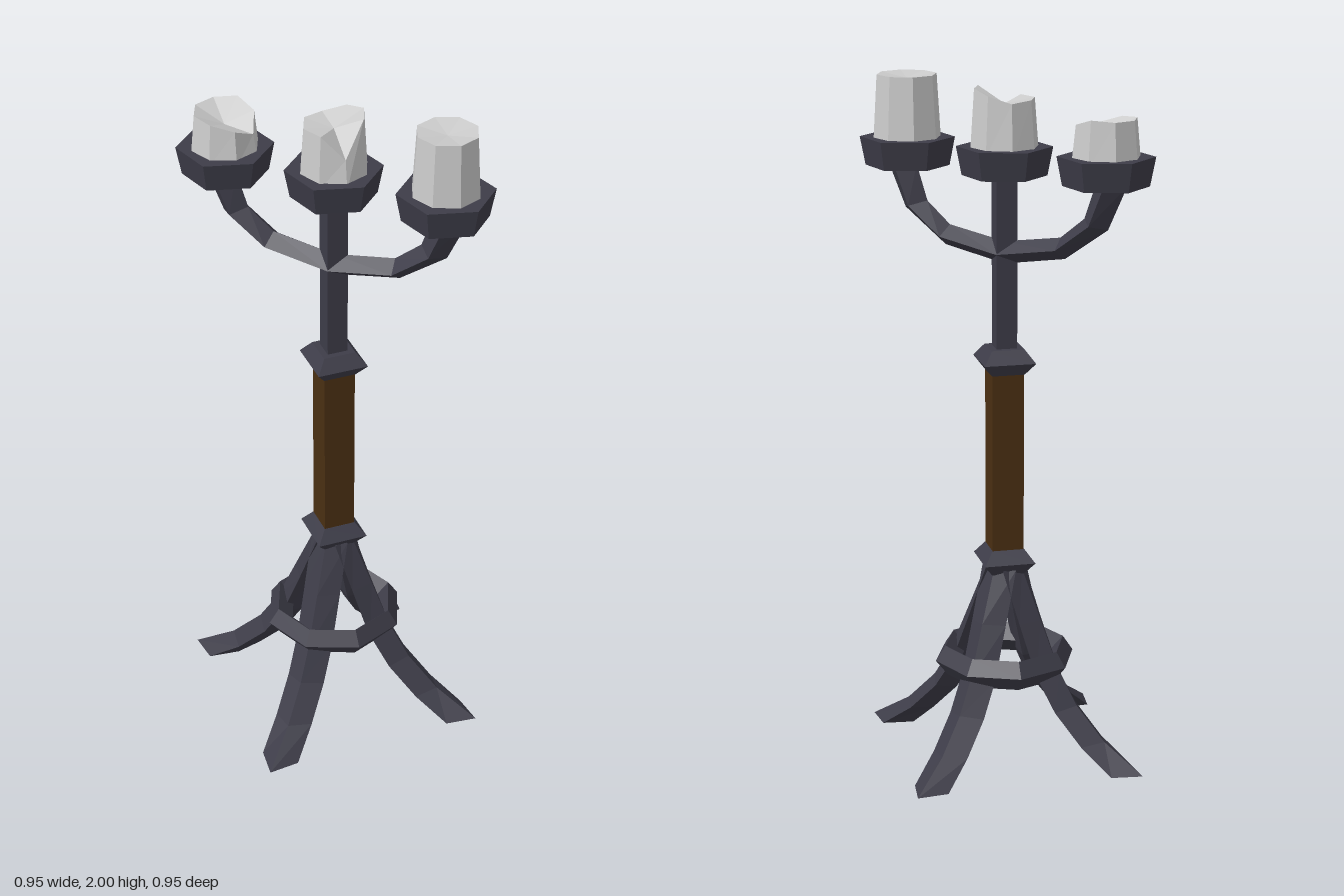
import * as THREE from 'three';

const iron = new THREE.MeshStandardMaterial({ color: 0x3d3c48, flatShading: true });
const wood = new THREE.MeshStandardMaterial({ color: 0x4a2f12, flatShading: true });
const wax = new THREE.MeshStandardMaterial({ color: 0xcccccc, flatShading: true });

function mesh(name, geometry, material, x = 0, y = 0) {
  const m = new THREE.Mesh(geometry, material);
  m.name = name;
  m.position.set(x, y, 0);
  return m;
}

// Skins a list of equal rings of points and closes both ends; the end cap can be sunk
function loft(rings, sink = 0) {
  const n = rings[0].length;
  const pos = rings.flat(2);
  const idx = [];
  for (let i = 0; i < rings.length - 1; i++) {
    for (let j = 0; j < n; j++) {
      const a = i * n + j, b = i * n + (j + 1) % n;
      idx.push(a, a + n, b, b, a + n, b + n);
    }
  }
  [rings[0], rings[rings.length - 1]].forEach((ring, end) => {
    const c = pos.length / 3, base = end ? (rings.length - 1) * n : 0;
    for (let k = 0; k < 3; k++) {
      pos.push(ring.reduce((s, p) => s + p[k], 0) / n - (end && k === 1 ? sink : 0));
    }
    for (let j = 0; j < n; j++) {
      const a = base + j, b = base + (j + 1) % n;
      if (end) idx.push(c, b, a); else idx.push(c, a, b);
    }
  });
  const g = new THREE.BufferGeometry();
  g.setAttribute('position', new THREE.Float32BufferAttribute(pos, 3));
  g.setIndex(idx);
  g.computeVertexNormals();
  return g;
}

// Bent bar of diamond section between an outer and an inner edge in the xy plane
function diamondBar(outer, inner, halfWidth) {
  return loft(outer.map(([ox, oy], i) => {
    const [ix, iy] = inner[i];
    const mx = (ox + ix) / 2, my = (oy + iy) / 2;
    return [[ox, oy, 0], [mx, my, halfWidth], [ix, iy, 0], [mx, my, -halfWidth]];
  }));
}

function lathe(points, sides) {
  return new THREE.LatheGeometry(points.map(p => new THREE.Vector2(...p)), sides);
}

// Eight-sided candle with an uneven molten rim; heights start at +x and turn towards +z
function candle(heights, sink) {
  const ring = (r, y) => heights.map((h, j) => {
    const a = j * Math.PI / 4;
    return [r * Math.cos(a), y ?? h, r * Math.sin(a)];
  });
  return loft([ring(0.1, 1.8), ring(0.088)], sink);
}

export function createModel() {
  const group = new THREE.Group();

  // Four splayed legs
  const legGeometry = diamondBar(
    [[0.475, 0], [0.345, 0.08], [0.25, 0.175], [0.19, 0.27], [0.125, 0.42], [0.06, 0.57]],
    [[0.33, 0], [0.255, 0.065], [0.17, 0.15], [0.105, 0.25], [0.05, 0.41], [0, 0.57]], 0.058);
  for (let i = 0; i < 4; i++) {
    const leg = mesh('leg', legGeometry, iron);
    leg.rotation.y = i * Math.PI / 2;
    group.add(leg);
  }

  // Octagonal hoop tying the legs together
  group.add(mesh('legRing', lathe(
    [[0.175, 0.24], [0.21, 0.285], [0.18, 0.33], [0.135, 0.285], [0.175, 0.24]], 8), iron));

  // Square column with its corners on the axes
  for (const y of [0.555, 1.16]) {
    group.add(mesh('collar', lathe(
      [[0, 0], [0.068, 0], [0.107, 0.037], [0.068, 0.075], [0, 0.075]], 4), iron, 0, y));
  }
  group.add(mesh('woodenGrip', new THREE.CylinderGeometry(0.066, 0.066, 0.54, 4), wood, 0, 0.895));
  group.add(mesh('upperPole', new THREE.CylinderGeometry(0.043, 0.043, 0.52, 4), iron, 0, 1.49));

  // Two curved arms
  const armGeometry = diamondBar(
    [[0, 1.48], [0.2, 1.515], [0.338, 1.612], [0.397, 1.74]],
    [[0, 1.545], [0.185, 1.575], [0.262, 1.637], [0.298, 1.74]], 0.045);
  for (let i = 0; i < 2; i++) {
    const arm = mesh('arm', armGeometry, iron);
    arm.rotation.y = i * Math.PI;
    group.add(arm);
  }

  // Hexagonal cups, each holding a candle burnt down differently
  const candles = [
    [-0.33, [1.87, 1.9, 1.92, 1.925, 1.925, 1.925, 1.93, 1.91], 0.03],
    [0, [1.985, 1.885, 1.955, 1.955, 1.955, 1.95, 1.97, 1.985], 0.015],
    [0.33, [2, 2, 2, 2, 2, 2, 2, 2], 0.012],
  ];
  for (const [x, heights, sink] of candles) {
    group.add(mesh('cup', new THREE.CylinderGeometry(0.138, 0.122, 0.083, 6), iron, x, 1.777));
    group.add(mesh('candle', candle(heights, sink), wax, x));
  }

  return group;
}
